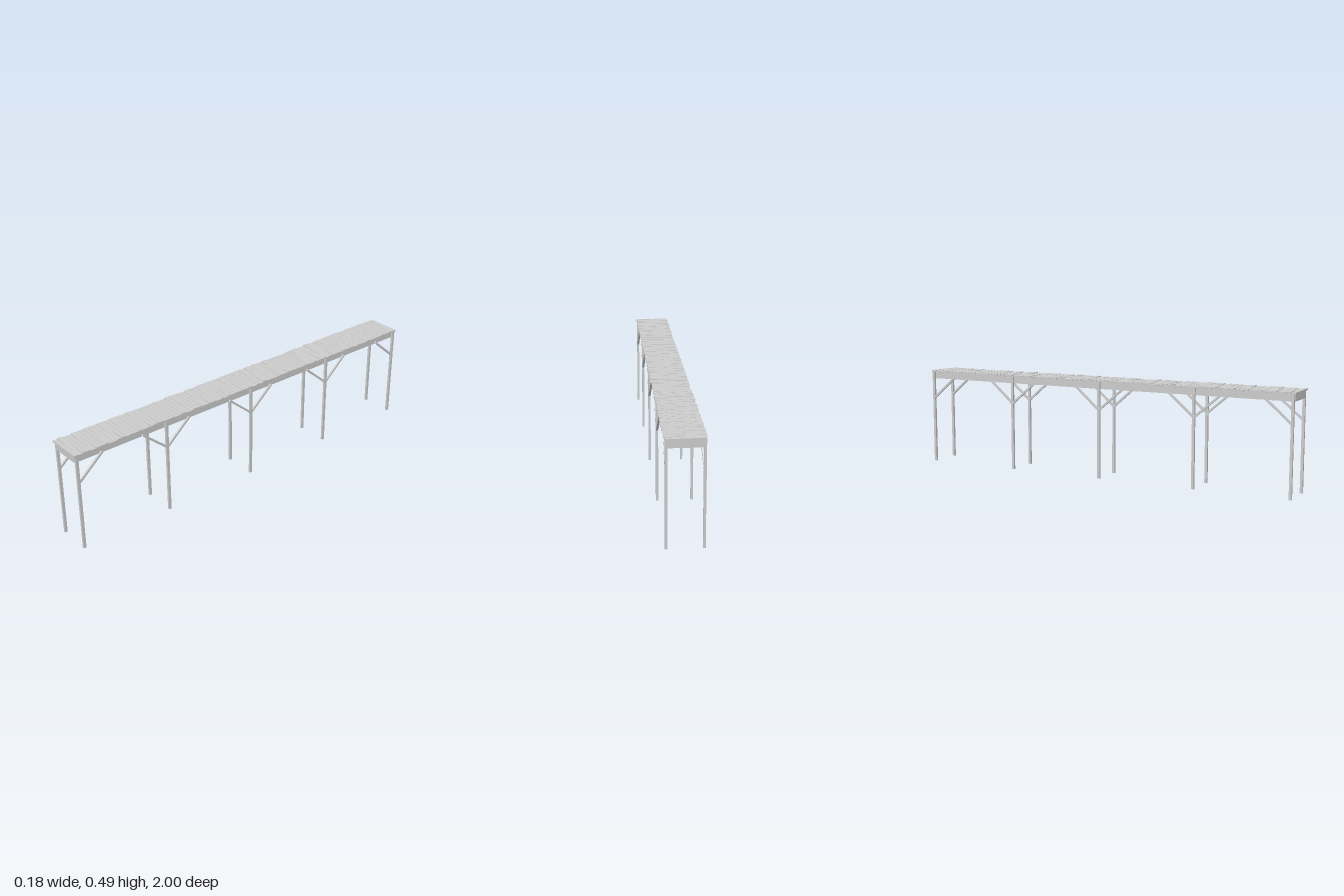
import * as THREE from 'three';

export function createModel() {
  const model = new THREE.Group();
  const material = new THREE.MeshStandardMaterial({ color: 0xcccccc, flatShading: true });

  let seed = 7;
  const random = () => (seed = (seed * 16807) % 2147483647) / 2147483647;
  const spread = (amount) => (random() * 2 - 1) * amount;

  const addBox = (parent, name, size, position) => {
    const mesh = new THREE.Mesh(new THREE.BoxGeometry(...size), material);
    mesh.name = name;
    mesh.position.set(...position);
    parent.add(mesh);
    return mesh;
  };

  // Square bar running between two points
  const addBar = (parent, name, from, to, width) => {
    const a = new THREE.Vector3(...from), b = new THREE.Vector3(...to);
    const bar = addBox(parent, name, [width, width, a.distanceTo(b)], a.clone().lerp(b, 0.5).toArray());
    bar.lookAt(b);
  };

  // Solid beam under the deck
  addBox(model, 'deckBeam', [0.146, 0.036, 1.985], [0, 0.46, 0]);

  // Uneven cross planks: varied length, slight tilt
  const deck = new THREE.Group();
  deck.name = 'deckPlanks';
  model.add(deck);
  const count = 90, pitch = 2 / count;
  for (let i = 0; i < count; i++) {
    const z = -1 + pitch * (i + 0.5);
    const length = 0.173 + spread(0.004);
    const plank = addBox(deck, 'plank', [length, 0.007, pitch * 0.93], [spread(0.002), 0.4808 + spread(0.0005), z]);
    plank.rotation.z = spread(0.025);
  }

  // Post pairs with diagonal braces along the deck
  const rows = [0.985, 0.511, 0.009, -0.491, -0.987];
  rows.forEach((z, i) => {
    const trestle = new THREE.Group();
    trestle.name = 'trestle';
    model.add(trestle);
    for (const side of [-1, 1]) {
      addBox(trestle, 'post', [0.011, 0.478, 0.013], [side * 0.079, 0.239, z]);
      for (const dir of [-1, 1]) {
        if ((i === 0 && dir > 0) || (i === rows.length - 1 && dir < 0)) continue;
        addBar(trestle, 'brace', [side * 0.079, 0.339, z], [side * 0.0765, 0.449, z + dir * 0.13], 0.01);
      }
    }
  });

  return model;
}
